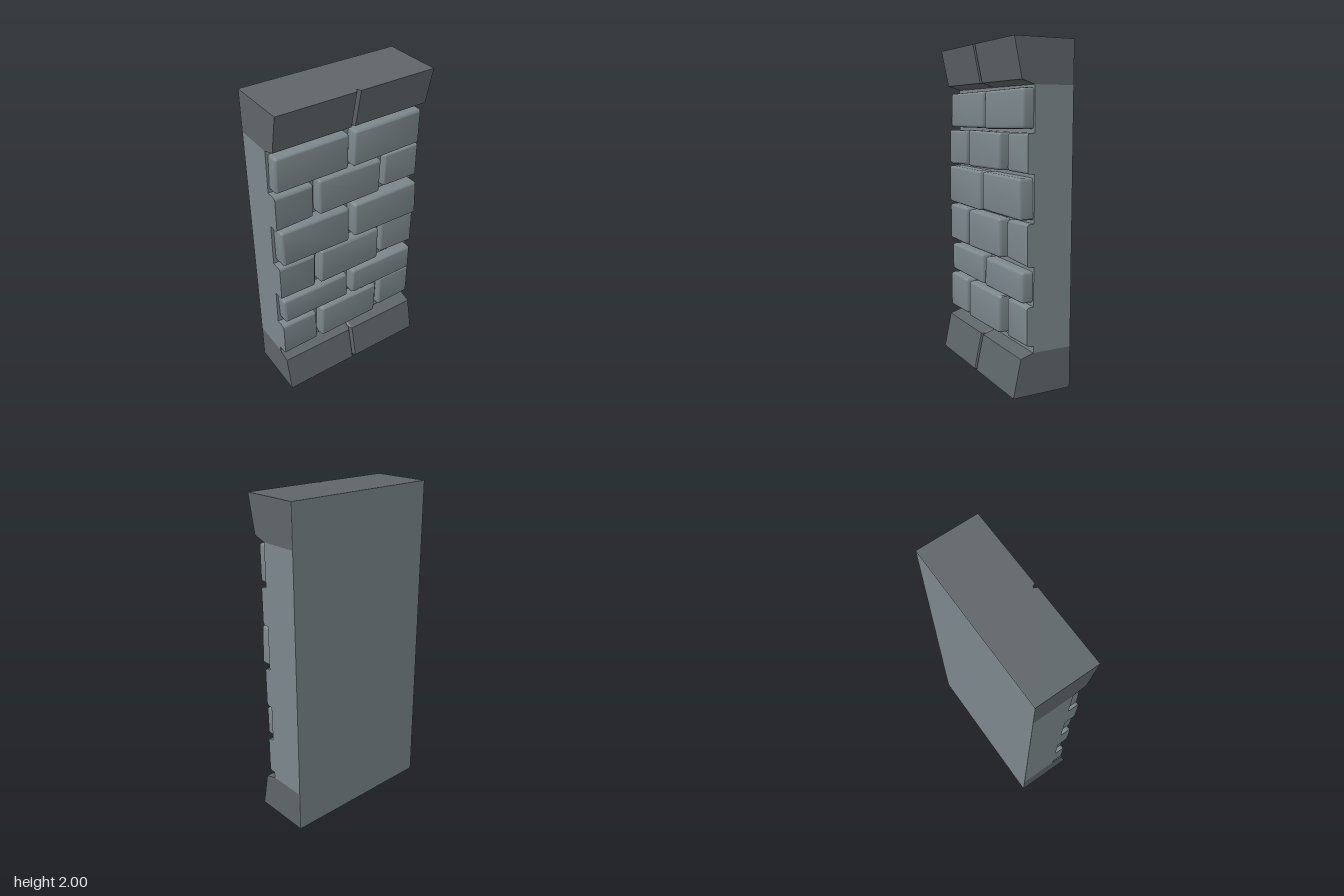
import * as THREE from 'three';
import { toCreasedNormals } from 'three/addons/utils/BufferGeometryUtils.js';

const stone = new THREE.MeshStandardMaterial({ color: 0x7c878c });
const darkStone = new THREE.MeshStandardMaterial({ color: 0x5e6569 });
const HALF = 0.5, BACK = -0.187, FACE = 0.06;

// small seeded generator for the uneven brick corners
function seeded(seed) {
  return () => {
    seed = (seed * 16807) % 2147483647;
    return seed / 2147483647 - 0.5;
  };
}

function box(name, y0, y1, z0, z1, material) {
  const mesh = new THREE.Mesh(new THREE.BoxGeometry(2 * HALF, y1 - y0, z1 - z0), material);
  mesh.position.set(0, (y0 + y1) / 2, (z0 + z1) / 2);
  mesh.name = name;
  return mesh;
}

// Sloped ledge with a V joint in the middle: a plan outline swept through three heights
function ledgeGeometry() {
  const plan = new THREE.Shape([
    [-HALF, 1], [-0.013, 1], [-0.006, 0.985], [0, 0.975], [0.006, 0.985], [0.013, 1],
    [HALF, 1], [HALF, 0], [-HALF, 0],
  ].map(([x, y]) => new THREE.Vector2(x, y)));
  const geo = new THREE.ExtrudeGeometry(plan, { depth: 2, steps: 2, bevelEnabled: false });
  const heights = [2, 1.775, 1.75], fronts = [0.187, 0.14, FACE];
  const p = geo.attributes.position;
  for (let i = 0; i < p.count; i++) {
    const level = Math.round(p.getZ(i)), v = p.getY(i);
    const z = v < 0.5 ? BACK + 0.003 : fronts[level] + v - 1;
    p.setXYZ(i, p.getX(i), heights[level], z);
  }
  geo.computeVertexNormals();
  return geo;
}

// Brick with rounded, slightly uneven corners, cut flat at the wall's sides
function brickGeometry(x0, x1, y0, y1, front, rand) {
  const j = () => rand() * 0.012, r = 0.018, bevel = 0.02;
  const c = [[x0, y0], [x1, y0], [x1, y1], [x0, y1]]
    .map(([x, y]) => new THREE.Vector2(x + j(), y + j()));
  const shape = new THREE.Shape();
  c.forEach((p, i) => {
    const toward = (q) => p.clone().add(q.clone().sub(p).setLength(r));
    const a = toward(c[(i + 3) % 4]), b = toward(c[(i + 1) % 4]);
    if (i === 0) shape.moveTo(a.x, a.y);
    else shape.lineTo(a.x, a.y);
    shape.quadraticCurveTo(p.x, p.y, b.x, b.y);
  });
  shape.closePath();
  const geo = new THREE.ExtrudeGeometry(shape, {
    depth: front - 2 * bevel, curveSegments: 3,
    bevelThickness: bevel, bevelSize: bevel * 0.8, bevelOffset: -bevel * 0.8, bevelSegments: 3,
  });
  geo.translate(0, 0, bevel);
  const p = geo.attributes.position;
  for (let i = 0; i < p.count; i++) p.setX(i, THREE.MathUtils.clamp(p.getX(i), -HALF, HALF));
  return toCreasedNormals(geo, 0.6);
}

export function createModel() {
  const group = new THREE.Group();

  // wall core and back
  group.add(box('wall', 0.25, 1.75, BACK, FACE, stone));
  group.add(box('backPanel', 0, 2, BACK, BACK + 0.003, stone));

  // top ledge, and the same turned over at the foot
  const ledge = ledgeGeometry();
  const top = new THREE.Mesh(ledge, darkStone);
  top.name = 'topLedge';
  const base = new THREE.Mesh(ledge, darkStone);
  base.name = 'baseLedge';
  base.rotation.z = Math.PI;
  base.position.y = 2;
  group.add(top, base);

  // brick courses: bottom, top and front of each, from the top down
  const rows = [
    [1.507, 1.73, 0.13], [1.267, 1.492, 0.13], [1.01, 1.25, 0.147],
    [0.752, 0.987, 0.13], [0.545, 0.725, 0.13], [0.285, 0.522, 0.13],
  ];
  const whole = [[-0.485, -0.02], [0.018, 0.485]];
  const staggered = [[-0.56, -0.256], [-0.216, 0.21], [0.255, 0.56]];
  const rand = seeded(4711);
  const bricks = new THREE.Group();
  bricks.name = 'bricks';
  rows.forEach(([y0, y1, front], row) => {
    (row % 2 ? staggered : whole).forEach(([x0, x1], i) => {
      const z = i === 2 ? front - 0.028 : front;
      const brick = new THREE.Mesh(brickGeometry(x0, x1, y0, y1, z, rand), stone);
      brick.name = `brickRow${row + 1}No${i + 1}`;
      bricks.add(brick);
    });
  });
  group.add(bricks);
  return group;
}
